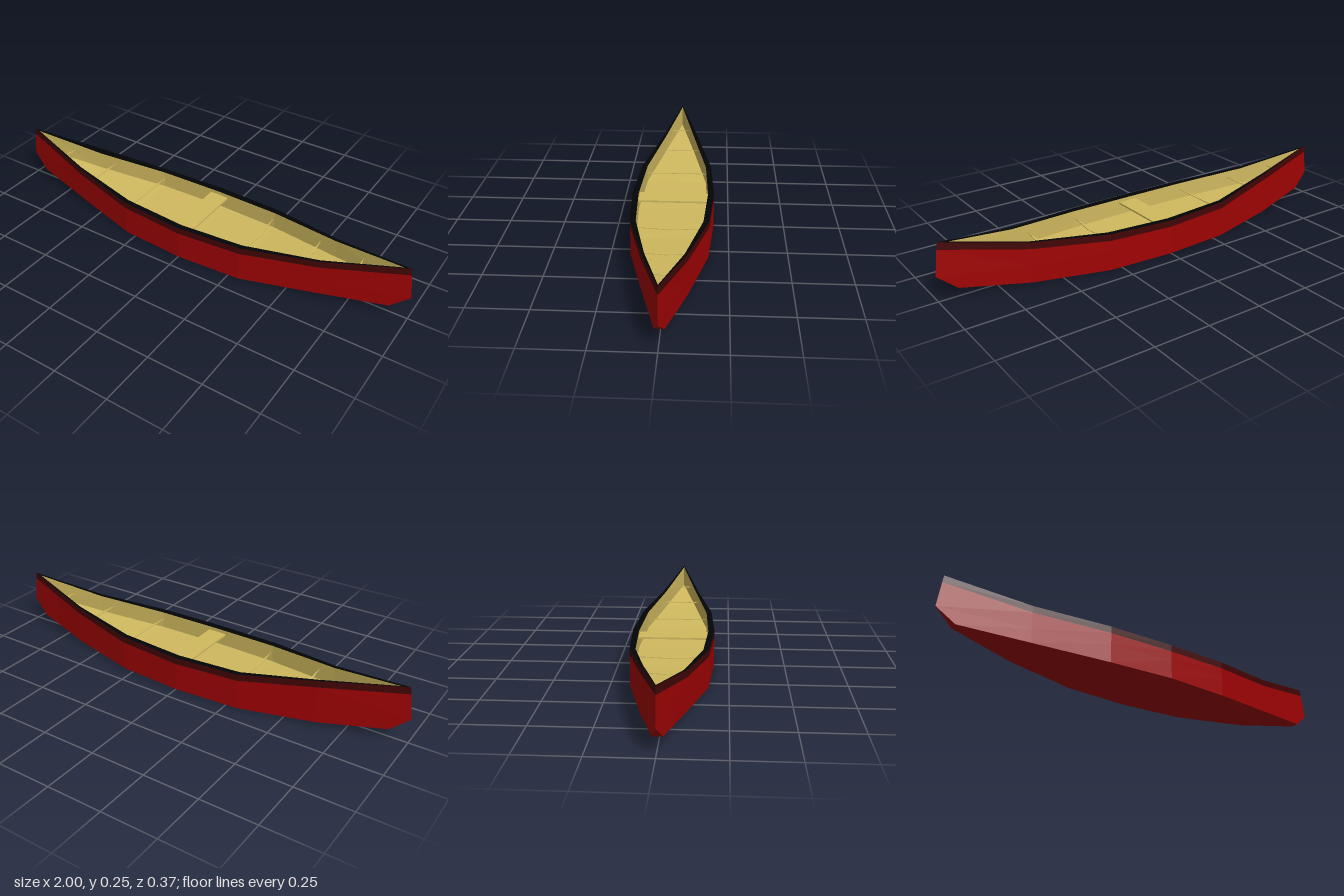
import * as THREE from 'three';

const mat = (name, color) => new THREE.MeshStandardMaterial({ name, color, flatShading: true, side: THREE.DoubleSide });

// Faceted strip between two rows of points; flip reverses the facing
function strip(a, b, flip = false) {
  const out = [];
  const tri = (p, q, r) => out.push(...p, ...(flip ? r : q), ...(flip ? q : r));
  for (let i = 0; i < a.length - 1; i++) {
    tri(a[i], a[i + 1], b[i + 1]);
    tri(a[i], b[i + 1], b[i]);
  }
  const g = new THREE.BufferGeometry();
  g.setAttribute('position', new THREE.Float32BufferAttribute(out, 3));
  g.computeVertexNormals();
  return g;
}

// Stations along the hull: x, half width, inner half width, rim height, floor height
const STATIONS = [
  [-0.63, 0.089, 0.077, 0.19, 0.105], [-0.3, 0.165, 0.141, 0.165, 0.083], [0, 0.183, 0.156, 0.158, 0.078],
  [0.3, 0.165, 0.141, 0.165, 0.083], [0.63, 0.089, 0.077, 0.19, 0.105],
];

// One lengthwise row: both end points plus a point per station
function row(endX, endY, endZ, fn) {
  return [[-endX, endY, endZ], ...STATIONS.map(fn), [endX, endY, endZ]];
}

// Interpolated inner half width and rim height at any x
function at(x) {
  const pts = [...STATIONS.slice(2), [0.96, 0, 0, 0.25]];
  const i = Math.max(1, pts.findIndex(p => p[0] >= x));
  const t = (x - pts[i - 1][0]) / (pts[i][0] - pts[i - 1][0]);
  return [2, 3].map(k => THREE.MathUtils.lerp(pts[i - 1][k], pts[i][k], t));
}

export function createModel() {
  const canoe = new THREE.Group();
  canoe.name = 'canoe';
  const red = mat('hull red', 0x9f0203);
  const maroon = mat('dark maroon', 0x420405);
  const black = mat('rim black', 0x020405);
  const tan = mat('interior tan', 0xd0b95f);
  const add = (name, geometry, material) => {
    const m = new THREE.Mesh(geometry, material);
    m.name = name;
    canoe.add(m);
    return m;
  };

  const bottoms = {}, floors = {};
  for (const s of [1, -1]) {
    const side = s > 0 ? 'front' : 'back';
    const flip = s < 0;
    // The keel line and sheer are a little uneven between the two sides
    const keelY = x => (Math.abs(x) > 0.5 ? (s > 0 ? 0.024 : 0.01) : 0);
    const rimY = (x, y) => (s < 0 && x < -0.5 ? 0.207 : y);
    const bottom = row(0.92, 0.046, s * 0.02, ([x, w]) => [x, keelY(x), s * w]);
    const middle = row(1, 0.11, 0, ([x, w]) => [x, 0.085, s * w]);
    const band = row(0.985, 0.222, 0, ([x, w, , y]) => [x, rimY(x, y) - 0.03, s * w]);
    const top = row(0.98, 0.253, 0, ([x, w, , y]) => [x, rimY(x, y), s * w]);
    const inner = row(0.965, 0.251, 0, ([x, , w, y]) => [x, rimY(x, y), s * w]);
    const lip = row(0.965, 0.246, 0, ([x, , w, y]) => [x, y - 0.004, s * w]);
    const floor = row(0.95, 0.15, 0, ([x, , w, , f]) => [x, f, s * w]);
    bottoms[s] = bottom;
    floors[s] = floor;

    add(side + 'LowerHull', strip(bottom, middle, flip), red);
    add(side + 'UpperHull', strip(middle, band, flip), red);
    add(side + 'GunwaleBand', strip(band, top, flip), maroon);
    add(side + 'GunwaleTop', strip(top, inner, flip), black);
    add(side + 'GunwaleLip', strip(inner, lip, flip), black);
    add(side + 'InnerWall', strip(lip, floor, flip), tan);
  }
  add('hullBottom', strip(bottoms[-1], bottoms[1]), red);
  add('floor', strip(floors[1], floors[-1]), tan);

  // Small triangles closing the bottom of each stem
  for (const e of [1, -1]) {
    const tip = [e, 0.11, 0];
    const a = [[e * 0.92, 0.046, -0.02], tip];
    const b = [[e * 0.92, 0.046, 0.02], tip];
    add(e > 0 ? 'leftStem' : 'rightStem', strip(a, b, e < 0), red);
  }

  // Flat centre seat
  const seat = add('seat', new THREE.BoxGeometry(0.09, 0.008, 0.314), tan);
  seat.position.y = 0.134;

  // Thin bowed thwarts towards both ends
  for (const e of [1, -1]) {
    for (const x of [0.295, 0.553, 0.768]) {
      const [w, y] = at(x);
      const bow = 0.004 + w * 0.09;
      const shape = new THREE.Shape([[0, -w], [bow, 0], [0, w]].map(p => new THREE.Vector2(e * p[0], p[1])));
      const g = new THREE.ExtrudeGeometry(shape, { depth: 0.003, bevelEnabled: false });
      g.rotateX(Math.PI / 2);
      const m = add('thwart', g, tan);
      m.position.set(e * x, y - 0.035, 0);
    }
  }
  return canoe;
}
